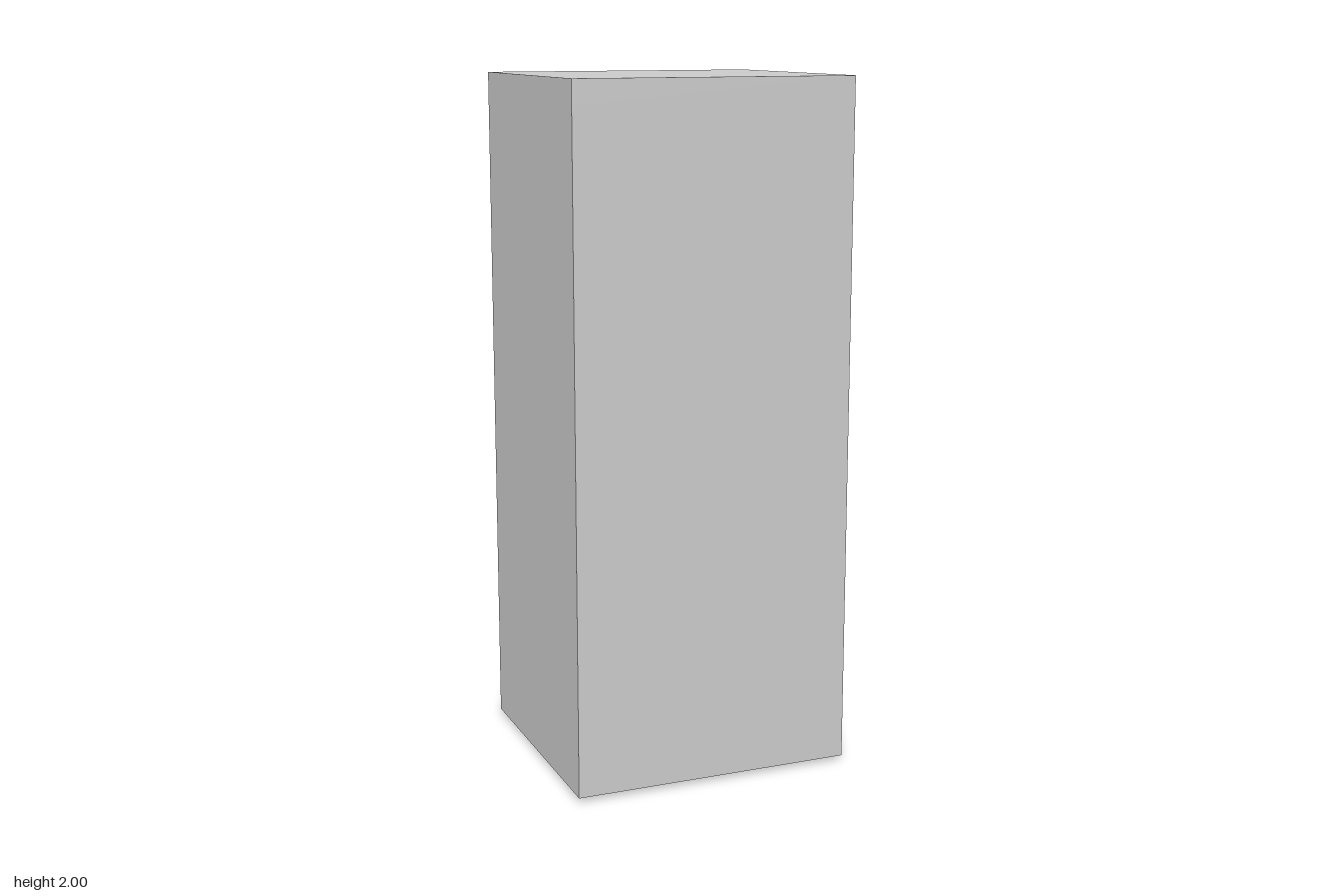
import * as THREE from 'three';

export function createModel() {
  const model = new THREE.Group();
  const mat = new THREE.MeshStandardMaterial({ color: 0xcccccc, side: THREE.DoubleSide, flatShading: true });

  const X0 = -0.42, X1 = 0.405, Z = 0.372, Y0 = 0.015, Y1 = 2;
  const backX = -0.34, frontX = 0.345, wallZ = 0.297, floorY = 0.02, ceilY = 1.93;
  const openZ = 0.207;
  const levels = [{ base: Y0, top: 0.483 }, { base: 0.877, top: 1.342 }];

  const add = (name, geo, parent = model) => {
    const mesh = new THREE.Mesh(geo, mat);
    mesh.name = name;
    parent.add(mesh);
    return mesh;
  };
  // Box given by its limits on each axis
  const box = (name, x0, x1, y0, y1, z0, z1, parent) => {
    const m = add(name, new THREE.BoxGeometry(x1 - x0, y1 - y0, z1 - z0), parent);
    m.position.set((x0 + x1) / 2, (y0 + y1) / 2, (z0 + z1) / 2);
    return m;
  };
  const outline = (pts, Type = THREE.Shape) => new Type(pts.map(p => new THREE.Vector2(...p)));
  // Upright slab facing +x, drawn in (-z, y)
  const slab = (name, shape, x0, x1, parent) => {
    const geo = new THREE.ExtrudeGeometry(shape, { depth: x1 - x0, bevelEnabled: false });
    geo.rotateY(Math.PI / 2).translate(x0, 0, 0);
    return add(name, geo, parent);
  };
  const arch = (outer, inner, base, top, innerTop) => outline([
    [-outer, base], [-inner, base], [-inner, innerTop], [inner, innerTop],
    [inner, base], [outer, base], [outer, top], [-outer, top]]);

  // Shaft: floor, roof, side walls and the inner back wall
  box('pitFloor', backX, X1, Y0, floorY, -Z, Z);
  box('roof', X0, X1, ceilY, Y1, -Z, Z);
  for (const s of [-1, 1]) {
    box('sideWall', backX, frontX, floorY, ceilY, Math.min(s * wallZ, s * Z), Math.max(s * wallZ, s * Z));
  }
  const plane = (name, w, x, z, turn) => {
    const m = add(name, new THREE.PlaneGeometry(w, ceilY - Y0));
    m.position.set(x, (Y0 + ceilY) / 2, z);
    m.rotation.y = turn;
  };
  plane('innerBackWall', 2 * Z, backX, 0, Math.PI / 2);

  // Rear cavity skin, open underneath
  plane('backPanel', 2 * Z, X0, 0, -Math.PI / 2);
  plane('cavitySideLeft', backX - X0, (X0 + backX) / 2, Z, 0);
  plane('cavitySideRight', backX - X0, (X0 + backX) / 2, -Z, Math.PI);

  // Landing wall with a doorway at each level
  const wall = arch(Z, openZ, floorY, ceilY, levels[0].top);
  const up = levels[1];
  wall.holes.push(outline([[-openZ, up.base], [-openZ, up.top], [openZ, up.top], [openZ, up.base]], THREE.Path));
  slab('landingWall', wall, frontX, X1);

  // Door surround, open sliding panels and call panel at each level
  for (const { base, top } of levels) {
    const landing = new THREE.Group();
    landing.name = 'landingDoor';
    model.add(landing);
    slab('doorFrame', arch(0.255, openZ, base, top + 0.08, top), X1, 0.42, landing);
    for (const s of [-1, 1]) {
      const panel = box('slidingPanel', 0.35, 0.37, Math.max(base, floorY), top, 0.147, 0.24, landing);
      panel.position.z *= s;
    }
    const callY = top - 0.255;
    box('callPanel', X1, 0.416, callY, callY + 0.1, -0.338, -0.285, landing);
  }

  // T-section guide rails on the side walls, with feet below the floor
  for (const s of [-1, 1]) {
    const rail = new THREE.Group();
    rail.name = 'guideRail';
    box('railBase', -0.035, 0.018, 0, ceilY, 0.29, 0.297, rail);
    box('railBlade', -0.014, -0.003, 0, ceilY, 0.268, 0.29, rail);
    rail.children.forEach(m => { m.position.z *= s; });
    model.add(rail);
  }
  return model;
}
